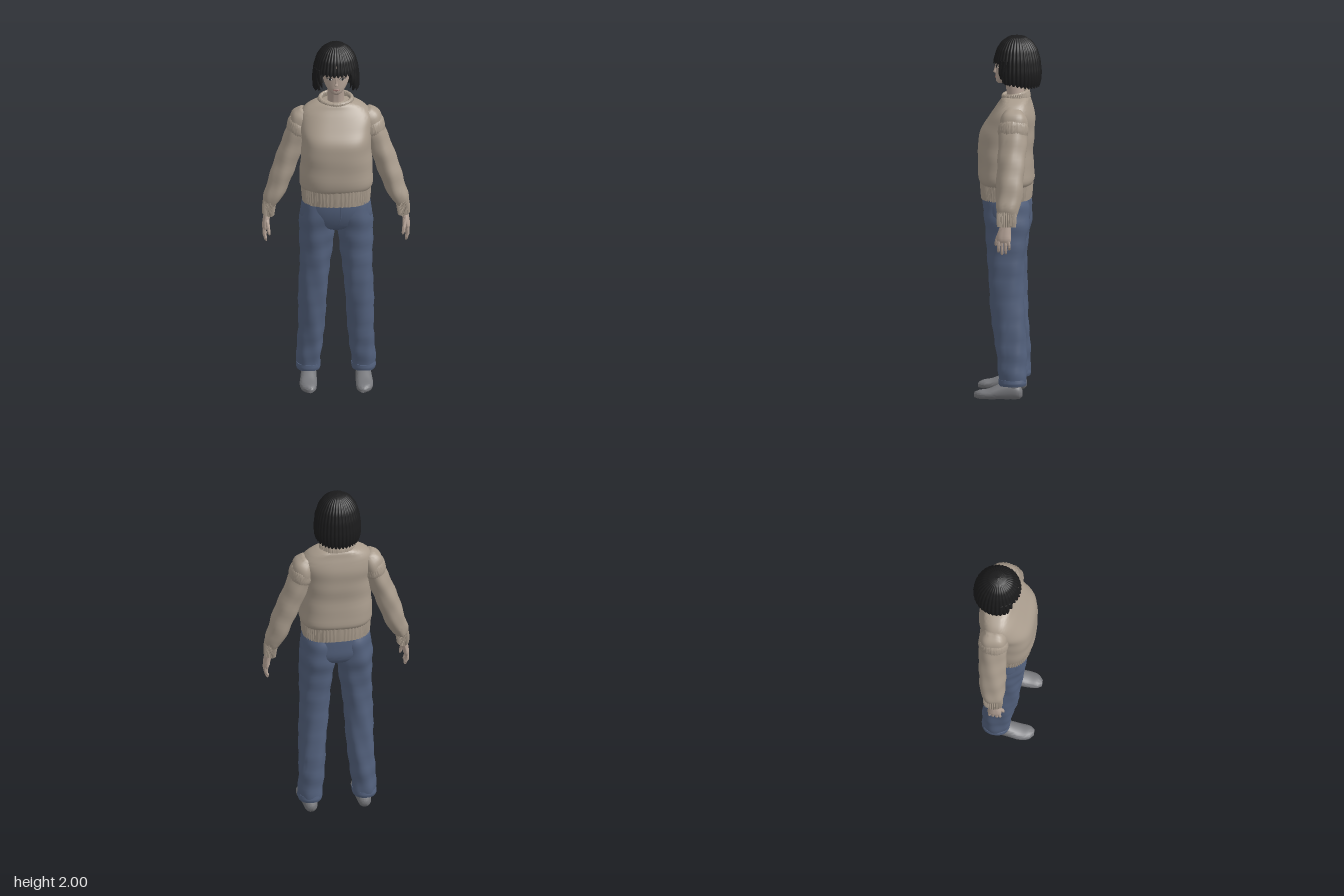
import * as THREE from 'three';
import { toCreasedNormals } from 'three/addons/utils/BufferGeometryUtils.js';

const material = (name, color, side = THREE.FrontSide) => {
  const m = new THREE.MeshStandardMaterial({ color, side });
  m.name = name;
  return m;
};

// Closed skin through oval rings listed bottom to top: [x, y, z, rx, rz, tilt].
// s = -1 mirrors it; pow squares the ovals; ribs and folds ripple the surface.
function loft(rings, { s = 1, seg = 32, sub = 5, pow = 2, ribs = 0, rib = 0, fold = 0 } = {}) {
  const centres = new THREE.CatmullRomCurve3(rings.map(r => new THREE.Vector3(r[0], r[1], r[2])), false, 'catmullrom', 0.5);
  const radii = new THREE.CatmullRomCurve3(rings.map(r => new THREE.Vector3(r[3], r[4], r[5] || 0)), false, 'catmullrom', 0.5);
  const rows = (rings.length - 1) * sub, pos = [], idx = [];
  const tri = (a, b, c) => (s > 0 ? idx.push(a, b, c) : idx.push(a, c, b));
  for (let i = 0; i <= rows; i++) {
    const c = centres.getPoint(i / rows), r = radii.getPoint(i / rows);
    for (let j = 0; j < seg; j++) {
      const a = (j / seg) * Math.PI * 2, ca = Math.cos(a), sa = Math.sin(a);
      const wave = rib * Math.cos(ribs * a) + fold * Math.sin(2 * a + 34 * c.y) * Math.cos(3 * a - 19 * c.y);
      const u = Math.sign(ca) * Math.abs(ca) ** (2 / pow) * (r.x + wave);
      const v = Math.sign(sa) * Math.abs(sa) ** (2 / pow) * (r.y + wave);
      pos.push(s * (c.x + u * Math.cos(r.z)), c.y + u * Math.sin(r.z), c.z + v);
    }
  }
  for (let i = 0; i < rows; i++) for (let j = 0; j < seg; j++) {
    const a = i * seg + j, b = i * seg + (j + 1) % seg;
    tri(a, a + seg, b);
    tri(b, a + seg, b + seg);
  }
  for (const [row, end, up] of [[0, rings[0], false], [rows, rings.at(-1), true]]) {
    const k = pos.length / 3;
    pos.push(s * end[0], end[1], end[2]);
    for (let j = 0; j < seg; j++) {
      const a = row * seg + j, b = row * seg + (j + 1) % seg;
      up ? tri(a, k, b) : tri(a, b, k);
    }
  }
  const g = new THREE.BufferGeometry();
  g.setAttribute('position', new THREE.Float32BufferAttribute(pos, 3));
  g.setIndex(idx);
  return toCreasedNormals(g, 1.1);
}

const tube = (pts, r) => new THREE.TubeGeometry(
  new THREE.CatmullRomCurve3(pts.map(p => new THREE.Vector3(...p))), 12, r, 6);

// Bob: a ridged dome whose lower edge rises over the face to make the fringe
function bobGeometry() {
  const profile = [[2.0, 0], [1.992, 0.33], [1.965, 0.62], [1.925, 0.82], [1.87, 0.94], [1.8, 1], [1.75, 0.98], [1.7, 0.86]];
  const radius = y => {
    const i = Math.max(1, profile.findIndex(p => p[0] <= y));
    const [y0, r0] = profile[i - 1], [y1, r1] = profile[i];
    return r0 + (r1 - r0) * (y0 - y) / (y0 - y1);
  };
  const seg = 216, rows = 22, pos = [], idx = [];
  for (let i = 0; i <= rows; i++) for (let j = 0; j < seg; j++) {
    const a = (j / seg) * Math.PI * 2, d = Math.min(a, Math.PI * 2 - a) * 180 / Math.PI;
    const ridge = Math.abs(Math.sin(18 * a));
    const edge = 1.855 - 0.105 * THREE.MathUtils.smoothstep(d, 50, 58)
      - 0.025 * THREE.MathUtils.smoothstep(d, 58, 140) - 0.012 * ridge;
    const y = 2 - (2 - edge) * (i / rows) ** 1.7;
    const r = radius(y) * (0.96 + 0.045 * ridge);
    pos.push(0.13 * r * Math.sin(a), y, -0.045 + 0.135 * r * Math.cos(a));
  }
  for (let i = 0; i < rows; i++) for (let j = 0; j < seg; j++) {
    const a = i * seg + j, b = i * seg + (j + 1) % seg;
    idx.push(a, a + seg, b, b, a + seg, b + seg);
  }
  const g = new THREE.BufferGeometry();
  g.setAttribute('position', new THREE.Float32BufferAttribute(pos, 3));
  g.setIndex(idx);
  g.computeVertexNormals();
  return g;
}

export function createModel() {
  const model = new THREE.Group();
  const skin = material('skin', 0xb5a397);
  const knit = material('beige knit', 0xa99c8d);
  const denim = material('blue denim', 0x53617d);
  const hair = material('black hair', 0x1b1b1c, THREE.DoubleSide);
  const sock = material('grey sock', 0x77787c);
  const lip = material('lip', 0x9c7770);
  const eyeWhite = material('eye white', 0xd2ccc6);
  const add = (name, geometry, mat) => {
    const mesh = new THREE.Mesh(geometry, mat);
    mesh.name = name;
    model.add(mesh);
    return mesh;
  };

  // Head and face
  add('head', loft([[0, 1.733, 0.045, 0.014, 0.016], [0, 1.745, 0.034, 0.034, 0.036], [0, 1.77, 0.012, 0.055, 0.06],
    [0, 1.8, -0.004, 0.069, 0.076], [0, 1.84, -0.015, 0.076, 0.087], [0, 1.88, -0.02, 0.08, 0.093],
    [0, 1.92, -0.025, 0.075, 0.085], [0, 1.96, -0.03, 0.045, 0.055]]), skin);
  add('neck', loft([[0, 1.62, -0.045, 0.055, 0.055], [0, 1.68, -0.036, 0.045, 0.048], [0, 1.79, -0.02, 0.046, 0.05]]), skin);
  add('nose', loft([[0, 1.788, 0.072, 0.007, 0.006], [0, 1.794, 0.074, 0.011, 0.012], [0, 1.81, 0.072, 0.006, 0.008],
    [0, 1.84, 0.068, 0.005, 0.005]], { seg: 12 }), skin);
  for (const [y, h] of [[1.769, 0.0035], [1.764, 0.004]])
    add('lip', new THREE.SphereGeometry(1, 14, 8).scale(0.018, h, 0.006).translate(0, y, 0.069), lip);
  for (const s of [1, -1]) {
    const at = (g, x, y, z) => g.rotateY(s * 0.5).translate(s * x, y, z);
    add('eye', at(new THREE.SphereGeometry(1, 16, 8).scale(0.015, 0.006, 0.004), 0.034, 1.828, 0.062), eyeWhite);
    add('iris', at(new THREE.SphereGeometry(1, 12, 8).scale(0.006, 0.006, 0.003), 0.034, 1.828, 0.065), hair);
    add('eyelash', tube([[s * 0.018, 1.831, 0.071], [s * 0.034, 1.836, 0.066], [s * 0.051, 1.831, 0.053]], 0.0016), hair);
  }

  // Hair with hanging locks beside the face
  add('bobHair', bobGeometry(), hair);
  for (const s of [1, -1]) for (const [x, z, low] of [[0.088, 0.038, 1.765], [0.1, 0.022, 1.745], [0.107, 0.0, 1.735]])
    add('sideLock', loft([[x - 0.012, low, z, 0.002, 0.003], [x, low + 0.045, z, 0.011, 0.013],
      [x, 1.87, z - 0.01, 0.012, 0.014]], { s, seg: 10 }), hair);

  // Sweater body
  add('sweaterBody', loft([[0, 1.175, 0.012, 0.186, 0.138], [0, 1.215, 0.012, 0.201, 0.152], [0, 1.34, 0.017, 0.195, 0.149],
    [0, 1.45, 0.012, 0.19, 0.15], [0, 1.53, -0.01, 0.197, 0.13], [0, 1.59, -0.028, 0.193, 0.105],
    [0, 1.63, -0.035, 0.165, 0.085], [0, 1.655, -0.037, 0.122, 0.074], [0, 1.667, -0.037, 0.085, 0.06]],
  { seg: 64, pow: 2.6, fold: 0.003 }), knit);
  add('sweaterHem', loft([[0, 1.1, 0.012, 0.184, 0.136], [0, 1.14, 0.012, 0.188, 0.14], [0, 1.195, 0.012, 0.191, 0.143]],
    { seg: 256, sub: 3, pow: 2.6, ribs: 64, rib: 0.002 }), knit);
  const collar = add('collar', loft([[0, -0.022, 0, 0.098, 0.078], [0, 0.008, 0, 0.097, 0.077], [0, 0.019, 0, 0.088, 0.068],
    [0, 0.012, 0, 0.078, 0.06], [0, -0.02, 0, 0.074, 0.056]], { seg: 192, sub: 4, ribs: 48, rib: 0.0018 }), knit);
  collar.position.set(0, 1.668, -0.038);
  collar.rotation.x = 0.2;

  for (const s of [1, -1]) {
    // Sleeve, shoulder seam and cuff
    add('sleeve', loft([[0.362, 1.06, -0.015, 0.034, 0.052, 0.2], [0.351, 1.09, -0.018, 0.047, 0.061, 0.28],
      [0.331, 1.14, -0.025, 0.054, 0.07, 0.3], [0.294, 1.25, -0.03, 0.061, 0.074, 0.32],
      [0.25, 1.37, -0.035, 0.062, 0.076, 0.33], [0.209, 1.48, -0.038, 0.062, 0.078, 0.33],
      [0.188, 1.56, -0.04, 0.06, 0.075, 0.45], [0.165, 1.605, -0.04, 0.035, 0.05, 0.55]], { s, fold: 0.004 }), knit);
    add('shoulderSeam', loft([[0.21, 1.478, -0.038, 0.061, 0.077, 0.33], [0.205, 1.495, -0.038, 0.066, 0.082, 0.35],
      [0.199, 1.525, -0.039, 0.065, 0.081, 0.4], [0.195, 1.54, -0.04, 0.06, 0.076, 0.42]],
    { s, seg: 128, sub: 3, ribs: 32, rib: 0.0015 }), knit);
    add('cuff', loft([[0.37, 1.0, -0.015, 0.032, 0.05, 0.15], [0.368, 1.035, -0.015, 0.035, 0.053, 0.17],
      [0.361, 1.08, -0.016, 0.036, 0.054, 0.22]], { s, seg: 128, sub: 3, ribs: 32, rib: 0.002 }), knit);

    // Hand
    add('palm', loft([[0.389, 0.915, -0.004, 0.012, 0.033], [0.388, 0.935, -0.003, 0.017, 0.039],
      [0.382, 0.97, -0.004, 0.019, 0.036], [0.373, 1.02, -0.012, 0.02, 0.027]], { s, seg: 20 }), skin);
    [[0.026, 0.86], [0.008, 0.847], [-0.012, 0.852], [-0.03, 0.872]].forEach(([z, tip]) =>
      add('finger', loft([[0.381, tip, z * 1.05, 0.003, 0.003], [0.384, tip + 0.009, z * 1.05, 0.0075, 0.0075],
        [0.393, 0.9, z, 0.009, 0.009], [0.388, 0.945, z * 0.8, 0.01, 0.01]], { s, seg: 12 }), skin));
    add('thumb', loft([[0.364, 0.893, 0.043, 0.003, 0.003], [0.366, 0.903, 0.042, 0.008, 0.008],
      [0.371, 0.935, 0.036, 0.01, 0.01], [0.378, 0.98, 0.015, 0.013, 0.014]], { s, seg: 12 }), skin);

    // Trouser leg with turned hem
    add('trouserLeg', loft([[0.151, 0.09, -0.032, 0.064, 0.073], [0.146, 0.18, -0.028, 0.068, 0.078],
      [0.138, 0.3, -0.02, 0.071, 0.085], [0.128, 0.5, -0.002, 0.077, 0.092], [0.118, 0.7, 0.007, 0.082, 0.098],
      [0.108, 0.85, 0.006, 0.092, 0.107], [0.102, 0.96, 0.002, 0.098, 0.12], [0.096, 1.05, 0.008, 0.095, 0.125],
      [0.094, 1.11, 0.01, 0.085, 0.115]], { s, seg: 40, pow: 2.2, fold: 0.005 }), denim);
    add('trouserHem', loft([[0.151, 0.08, -0.032, 0.064, 0.073], [0.151, 0.095, -0.032, 0.068, 0.077],
      [0.15, 0.115, -0.031, 0.066, 0.075]], { s, seg: 40, sub: 3, pow: 2.2 }), denim);

    // Sock foot, swept from heel to toe and laid flat
    add('foot', loft([[0.149, -0.086, -0.036, 0.016, 0.018], [0.149, -0.068, -0.042, 0.034, 0.038],
      [0.149, -0.02, -0.053, 0.041, 0.051], [0.151, 0.04, -0.044, 0.045, 0.042], [0.154, 0.1, -0.031, 0.047, 0.029],
      [0.151, 0.15, -0.027, 0.04, 0.024], [0.145, 0.178, -0.024, 0.018, 0.014]],
    { s, seg: 28, pow: 2.2 }).rotateX(Math.PI / 2), sock);
    add('ankle', loft([[0.149, 0.04, -0.03, 0.038, 0.048], [0.15, 0.16, -0.035, 0.038, 0.042]], { s, seg: 24 }), sock);
  }

  // Trouser hips and front fly
  add('trouserHips', loft([[0, 0.925, 0, 0.07, 0.05], [0, 0.955, 0.002, 0.15, 0.1], [0, 1.0, 0.004, 0.194, 0.122],
    [0, 1.06, 0.01, 0.192, 0.13], [0, 1.13, 0.012, 0.18, 0.13]], { seg: 56, pow: 2.4 }), denim);
  add('fly', tube([[0.025, 1.1, 0.141], [0.024, 1.04, 0.136], [0.016, 1.0, 0.125], [0, 0.975, 0.112]], 0.003), denim);

  return model;
}
